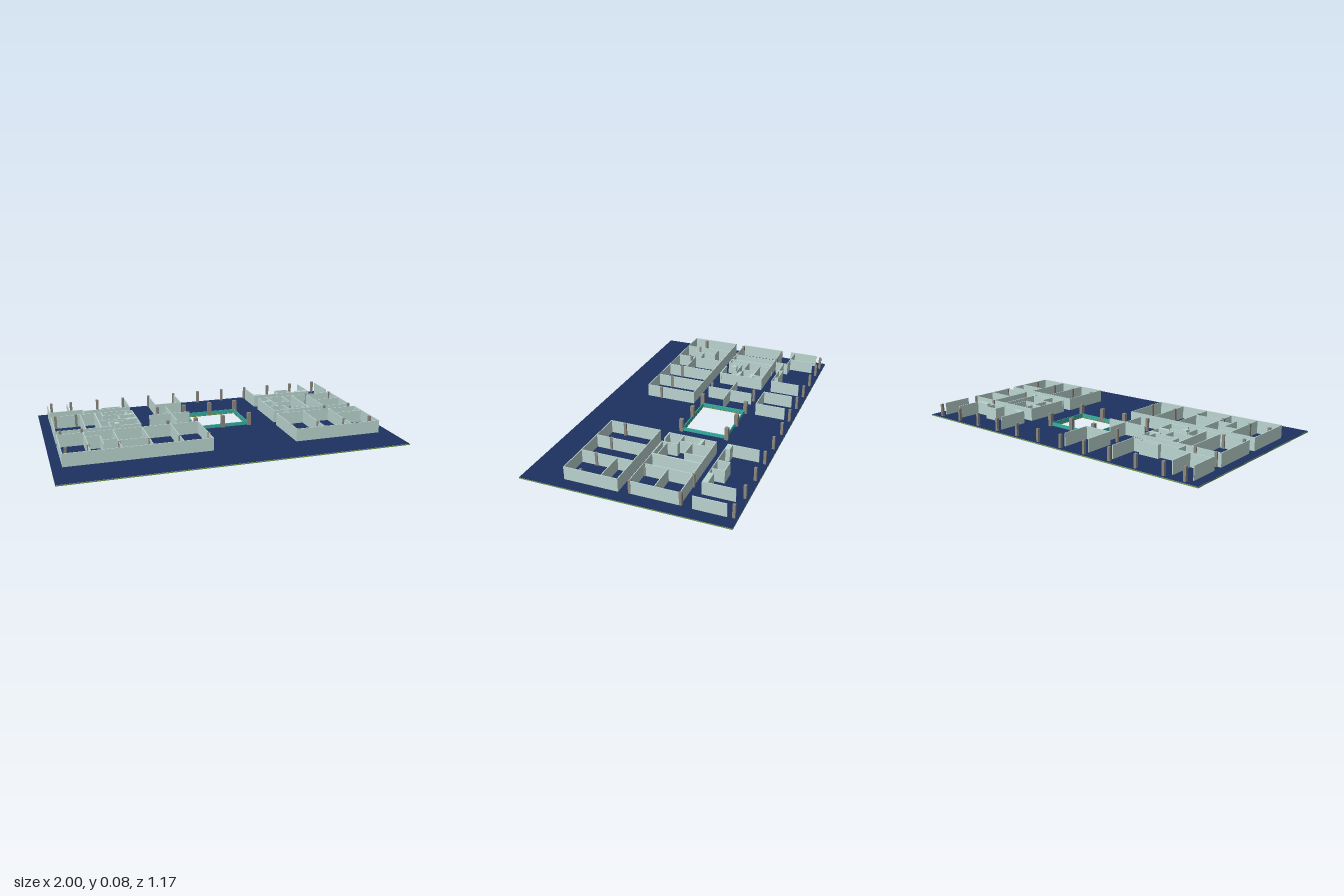
import * as THREE from 'three';

const FLOOR = 0.007, TOP = 0.083;
const mat = (color, extra = {}) => new THREE.MeshStandardMaterial({ color, ...extra });

function rect(target, x0, x1, z0, z1) {
  target.moveTo(x0, -z1);
  target.lineTo(x1, -z1);
  target.lineTo(x1, -z0);
  target.lineTo(x0, -z0);
  target.closePath();
  return target;
}

export function createModel() {
  const model = new THREE.Group();
  const wallMat = mat(0xbbd5d0), columnMat = mat(0x8c8880), railMat = mat(0x35b0a2);

  const box = (parent, name, material, x0, x1, y0, y1, z0, z1) => {
    const mesh = new THREE.Mesh(new THREE.BoxGeometry(x1 - x0, y1 - y0, z1 - z0), material);
    mesh.position.set((x0 + x1) / 2, (y0 + y1) / 2, (z0 + z1) / 2);
    mesh.name = name;
    parent.add(mesh);
  };
  const group = (name) => {
    const g = new THREE.Group();
    g.name = name;
    model.add(g);
    return g;
  };

  // Floor slab with the atrium opening, and its blue finish
  const plan = rect(new THREE.Shape(), -1, 1, -0.587, 0.587);
  plan.holes.push(rect(new THREE.Path(), -0.095, 0.225, -0.28, -0.022));
  const slab = new THREE.Mesh(
    new THREE.ExtrudeGeometry(plan, { depth: FLOOR - 0.001, bevelEnabled: false }),
    [mat(0x8fa5a3), mat(0x6f9a48)]);
  slab.rotation.x = -Math.PI / 2;
  slab.name = 'floorSlab';
  const finish = new THREE.Mesh(new THREE.ShapeGeometry(plan), mat(0x1c3260));
  finish.rotation.x = -Math.PI / 2;
  finish.position.y = FLOOR;
  finish.name = 'floorFinish';
  model.add(slab, finish);

  // Walls: [fixed coordinate, start, end]
  const T = 0.0025;
  const addWalls = (name, alongX, alongZ, t = T) => {
    const g = group(name);
    for (const [z, a, b] of alongX) box(g, 'wall', wallMat, a - t, b + t, FLOOR, TOP, z - t, z + t);
    for (const [x, a, b] of alongZ) box(g, 'wall', wallMat, x - t, x + t, FLOOR, TOP, a - t, b + t);
  };

  addWalls('frontRightRooms',
    [[0.05, -0.94, -0.11], [0.356, -0.94, -0.11], [0.13, -0.79, -0.706],
      [0.208, -0.706, -0.62], [0.238, -0.62, -0.45]],
    [[-0.94, 0.05, 0.356], [-0.79, 0.05, 0.356], [-0.706, 0.13, 0.265], [-0.62, 0.05, 0.356],
      [-0.45, 0.05, 0.356], [-0.278, 0.05, 0.356], [-0.11, 0.05, 0.356]]);

  addWalls('frontLeftRooms',
    [[0.05, 0.396, 0.925], [0.356, 0.396, 0.925], [0.142, 0.743, 0.925]],
    [[0.396, 0.05, 0.356], [0.572, 0.05, 0.356], [0.743, 0.05, 0.356], [0.925, 0.05, 0.356]]);

  addWalls('middleRightRooms',
    [[-0.287, -0.94, -0.68], [-0.01, -0.94, -0.68], [-0.15, -0.36, -0.11]],
    [[-0.94, -0.287, -0.01], [-0.765, -0.287, -0.01], [-0.225, -0.287, -0.01]]);

  addWalls('middleLeftRooms',
    [[-0.287, 0.637, 0.918], [-0.01, 0.637, 0.918], [-0.15, 0.743, 0.918]],
    [[0.743, -0.287, -0.01], [0.918, -0.287, -0.01]]);

  addWalls('backRightRooms',
    [[-0.38, -0.94, -0.737], [-0.355, -0.737, -0.445], [-0.38, -0.62, -0.503]],
    [[-0.94, -0.53, -0.355], [-0.818, -0.53, -0.38], [-0.737, -0.38, -0.305],
      [-0.62, -0.38, -0.355], [-0.503, -0.38, -0.355], [-0.445, -0.53, -0.355]]);

  addWalls('backMiddleRoom', [[-0.355, -0.278, -0.11]],
    [[-0.278, -0.53, -0.355], [-0.11, -0.53, -0.355]]);

  addWalls('backLeftRooms',
    [[-0.355, 0.4, 0.79], [-0.425, 0.572, 0.658]],
    [[0.4, -0.53, -0.355], [0.572, -0.425, -0.355], [0.658, -0.425, -0.355],
      [0.79, -0.53, -0.355], [0.922, -0.53, -0.355]]);

  // Service cores: thicker outer walls, thin partitions
  addWalls('rightCoreShell',
    [[-0.01, -0.676, -0.62], [-0.01, -0.556, -0.445]],
    [[-0.676, -0.287, -0.01]], 0.004);
  addWalls('rightCorePartitions',
    [[-0.287, -0.676, -0.445], [-0.22, -0.636, -0.445], [-0.133, -0.676, -0.445], [-0.1, -0.61, -0.5]],
    [[-0.636, -0.287, -0.22], [-0.487, -0.287, -0.22], [-0.545, -0.22, -0.133],
      [-0.62, -0.1, -0.01], [-0.445, -0.287, -0.01]]);
  addWalls('leftCoreShell',
    [[-0.01, 0.402, 0.465], [-0.01, 0.503, 0.637]],
    [[0.637, -0.287, -0.01]], 0.004);
  addWalls('leftCorePartitions',
    [[-0.287, 0.402, 0.637], [-0.098, 0.402, 0.503], [-0.04, 0.503, 0.637], [-0.17, 0.465, 0.572]],
    [[0.402, -0.287, -0.01], [0.465, -0.287, -0.098], [0.503, -0.098, -0.01], [0.572, -0.287, -0.17]]);

  // Solid shafts
  const shafts = group('shafts');
  for (const [x0, x1, z0, z1] of [
    [0.403, 0.453, -0.383, -0.354], [0.7, 0.79, -0.383, -0.354], [-0.508, -0.445, -0.222, -0.2],
    [-0.508, -0.445, -0.137, -0.115], [-0.59, -0.562, -0.077, -0.045], [0.4, 0.465, -0.222, -0.203],
  ]) box(shafts, 'shaft', wallMat, x0, x1, FLOOR, TOP, z0, z1);

  // Columns on the structural grid, larger around the atrium
  const columns = group('columns');
  const gridX = [-0.914, -0.79, -0.62, -0.45, -0.278, -0.107, 0.064, 0.235, 0.402, 0.572, 0.743, 0.914];
  [-0.565, -0.29, -0.013, 0.265].forEach((z, row) => {
    gridX.forEach((x, i) => {
      const atrium = i >= 5 && i <= 7, middle = row === 1 || row === 2;
      if (row === 3 && (i === 6 || i === 7)) return;
      if (middle && [2, 3, 8, 9].includes(i)) return;
      const h = atrium && middle ? 0.011 : 0.0075;
      box(columns, 'column', columnMat, x - h, x + h, FLOOR, TOP + 0.001, z - h, z + h);
    });
  });

  // Low railing round the atrium opening
  const railing = group('atriumRailing');
  for (const z of [-0.284, -0.018]) box(railing, 'rail', railMat, -0.1, 0.23, FLOOR, 0.027, z - 0.003, z + 0.003);
  for (const x of [-0.099, 0.229]) box(railing, 'rail', railMat, x - 0.003, x + 0.003, FLOOR, 0.027, -0.281, -0.021);

  return model;
}
